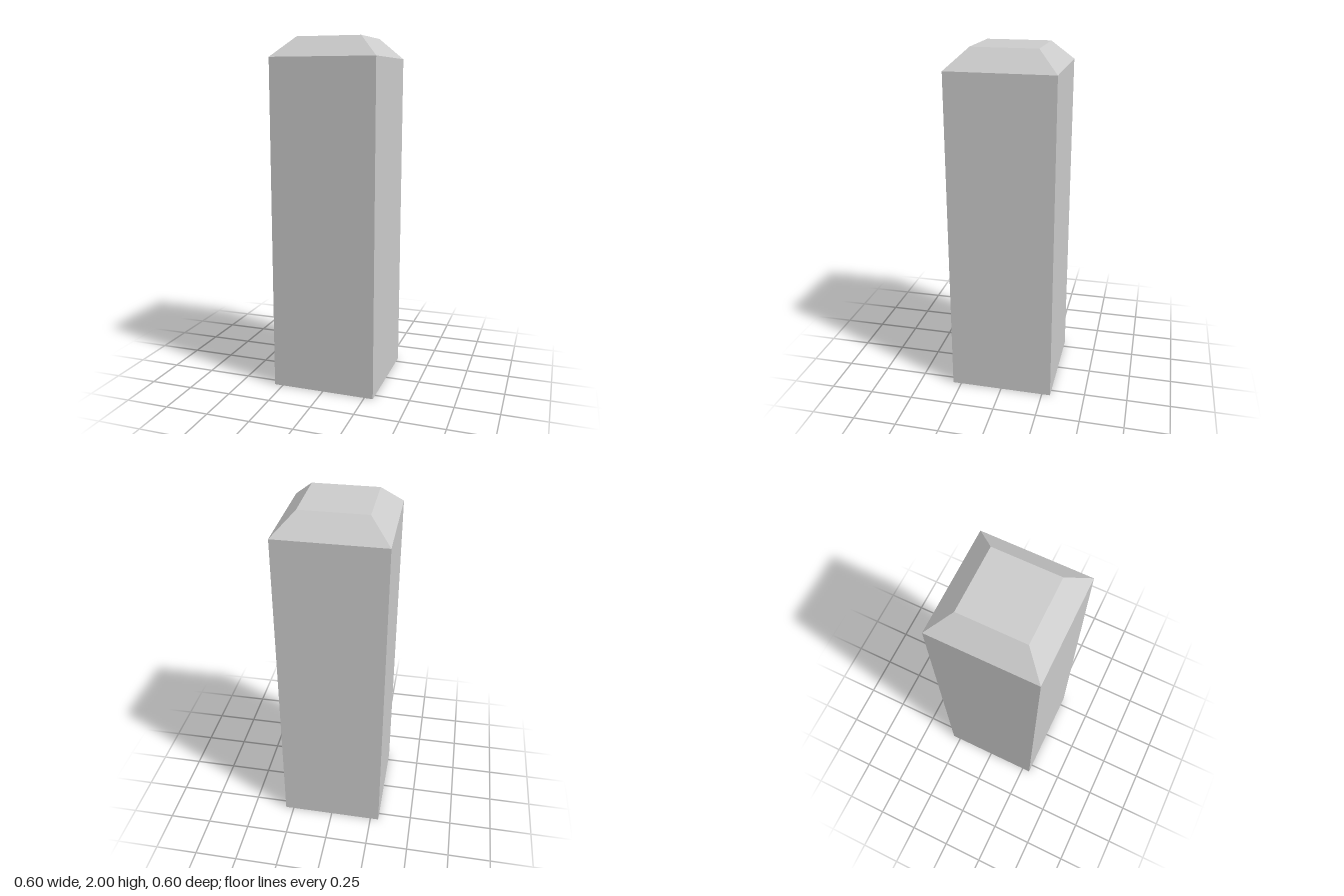
import * as THREE from 'three';

const material = new THREE.MeshStandardMaterial({ color: 0xcccccc, flatShading: true });

// Square solid turned from a profile of [half width, height], bottom to top
function squareSolid(name, profile) {
  const points = profile.map(([half, y]) => new THREE.Vector2(half * Math.SQRT2, y));
  const geometry = new THREE.LatheGeometry(points, 4, Math.PI / 4).toNonIndexed();
  geometry.computeVertexNormals();
  const mesh = new THREE.Mesh(geometry, material);
  mesh.name = name;
  return mesh;
}

export function createModel() {
  const group = new THREE.Group();
  group.name = 'bollard';

  // Tall square shaft
  group.add(squareSolid('shaft', [[0, 0], [0.3, 0], [0.3, 1.4], [0, 1.4]]));

  // Head block with a chamfered top
  group.add(squareSolid('head', [[0, 1.4], [0.3, 1.4], [0.3, 1.888], [0.184, 2], [0, 2]]));

  return group;
}
